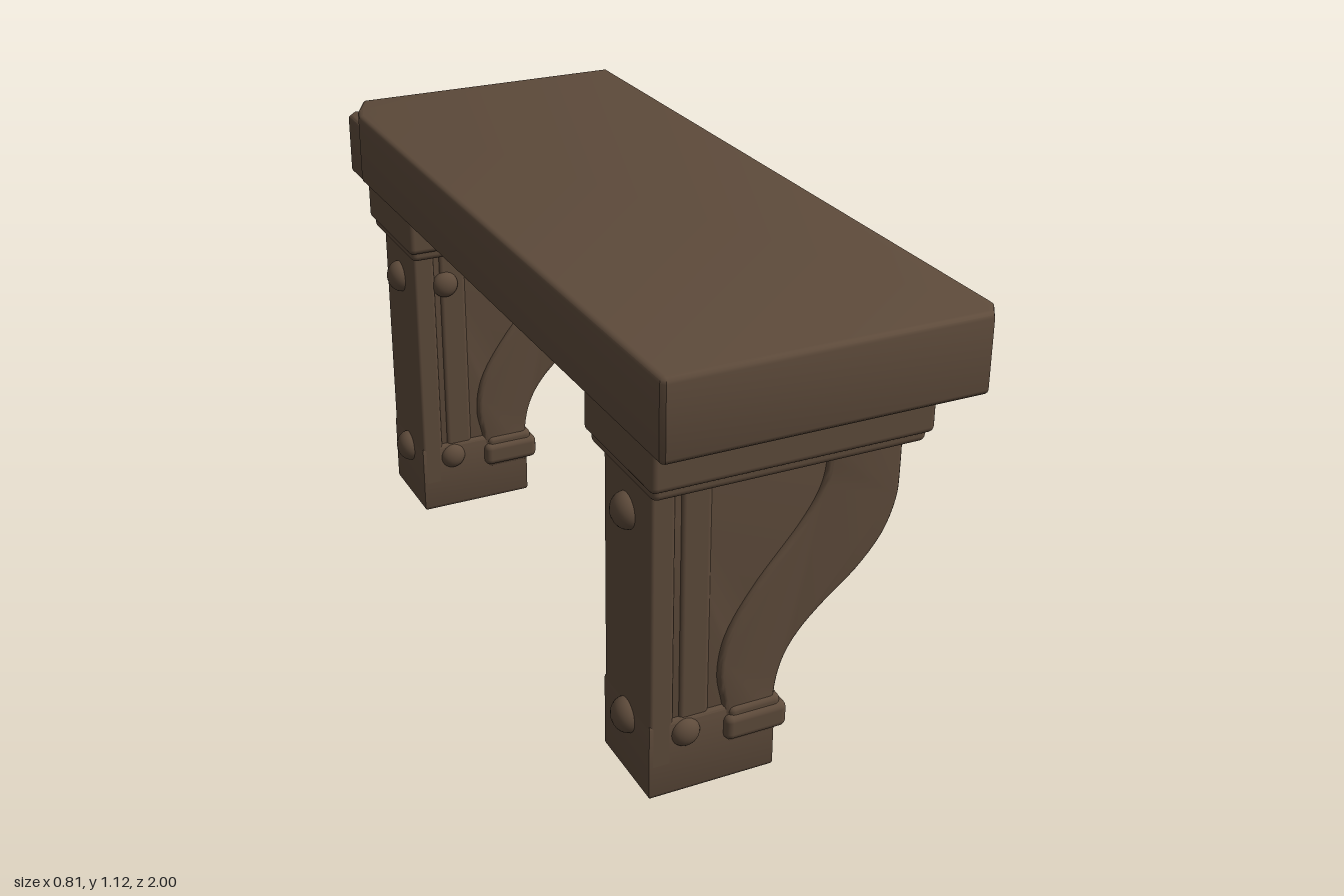
import * as THREE from 'three';
import { RoundedBoxGeometry } from 'three/addons/geometries/RoundedBoxGeometry.js';
import { toCreasedNormals } from 'three/addons/utils/BufferGeometryUtils.js';

const wood = new THREE.MeshStandardMaterial({ color: 0x5e4b3b });
wood.name = 'darkWood';

function add(parent, name, geometry, x = 0, y = 0, z = 0) {
  const mesh = new THREE.Mesh(geometry, wood);
  mesh.name = name;
  mesh.position.set(x, y, z);
  parent.add(mesh);
  return mesh;
}

const v = (pts) => pts.map(([x, y]) => new THREE.Vector2(x, y));

// Soft-edged block given by its limits
function block(parent, name, [x0, x1], [y0, y1], halfZ, r) {
  const g = new RoundedBoxGeometry(x1 - x0, y1 - y0, halfZ * 2, 3, r);
  return add(parent, name, g, (x0 + x1) / 2, (y0 + y1) / 2, 0);
}

// Bevelled plate, starting at depth 0, that keeps the outline of its shape
function plate(shape, depth, b) {
  const g = new THREE.ExtrudeGeometry(shape, {
    depth: depth - 2 * b, bevelEnabled: true, bevelThickness: b, bevelSize: b,
    bevelOffset: -b, bevelSegments: 3, curveSegments: 8,
  });
  g.translate(0, 0, b);
  return toCreasedNormals(g, 0.7);
}

// Plate lying flat: shape is drawn in (x, -z), thickness goes up
function flatPlate(points, height, b, hole) {
  const shape = new THREE.Shape(v(points));
  if (hole) shape.holes.push(new THREE.Path(v(hole)));
  return plate(shape, height, b).rotateX(-Math.PI / 2);
}

// S-shaped front edge of a bracket, and the inner edge of its scroll
const frontEdge = [[-0.035, 0.1], [-0.035, 0.2], [-0.018, 0.28], [0.02, 0.345], [0.08, 0.405],
  [0.165, 0.475], [0.228, 0.55], [0.26, 0.63], [0.266, 0.7], [0.266, 0.82]];
const innerEdge = [[0.08, 0.82], [0.07, 0.72], [0.02, 0.63], [-0.09, 0.5], [-0.16, 0.39],
  [-0.18, 0.29], [-0.165, 0.2], [-0.155, 0.1]];
const smooth = (pts) => new THREE.SplineCurve(v(pts)).getPoints(36);

function createBracket(side) {
  const bracket = new THREE.Group();
  bracket.name = side > 0 ? 'frontBracket' : 'backBracket';

  // Recessed side panel
  const core = new THREE.Shape([
    ...v([[-0.33, 0.82], [-0.33, 0.06], [-0.06, 0.06]]),
    ...smooth(frontEdge.map(([x, y]) => [x - 0.025, y])),
  ]);
  add(bracket, 'sidePanel', plate(core, 0.216, 0.004), 0, 0, -0.108);

  // Raised scroll
  const scroll = new THREE.Shape([...smooth(frontEdge), ...smooth(innerEdge)]);
  add(bracket, 'scroll', plate(scroll, 0.24, 0.012), 0, 0, -0.12);

  // Upright at the back with a narrow raised strip
  block(bracket, 'backPost', [-0.35, -0.29], [0.08, 0.83], 0.118, 0.01);
  block(bracket, 'postStrip', [-0.275, -0.2], [0.08, 0.83], 0.114, 0.012);

  // Foot with a socket underneath
  const foot = flatPlate(
    [[-0.35, -0.118], [-0.035, -0.118], [-0.035, 0.118], [-0.35, 0.118]], 0.2, 0.01,
    [[-0.25, -0.05], [-0.25, 0.05], [-0.11, 0.05], [-0.11, -0.05]]);
  foot.translate(0, 0.003, 0);
  add(bracket, 'foot', foot);
  block(bracket, 'footCollar', [-0.165, -0.008], [0.113, 0.18], 0.136, 0.018);
  block(bracket, 'collarTop', [-0.155, -0.022], [0.15, 0.2], 0.127, 0.016);

  // Capital with a tapered lower edge
  block(bracket, 'capital', [-0.375, 0.312], [0.81, 0.945], 0.172, 0.016);
  block(bracket, 'capitalLip', [-0.365, 0.3], [0.785, 0.86], 0.158, 0.016);

  // Domed bolts on the back and the sides
  const dome = new THREE.SphereGeometry(1, 20, 14);
  for (const y of [0.69, 0.163]) {
    add(bracket, 'backBolt', dome, -0.35, y, 0).scale.set(0.036, 0.043, 0.043);
  }
  for (const [y, s] of [[0.163, 1], [0.163, -1], [0.69, -side]]) {
    add(bracket, 'sideBolt', dome, -0.26, y, s * 0.113).scale.set(0.036, 0.036, 0.026);
  }

  bracket.position.z = side * 0.735;
  return bracket;
}

export function createModel() {
  const group = new THREE.Group();
  group.name = 'bracketShelf';

  // Thick shelf board with worn corners
  const board = flatPlate([[-0.4, -0.99], [-0.39, -1], [0.37, -1], [0.403, -0.95], [0.403, 1],
    [-0.345, 1], [-0.385, 0.92], [-0.403, 0.86]], 0.192, 0.014);
  add(group, 'shelfBoard', board, 0, 0.928, 0);

  // Split piece at the chipped back corner, sitting lower
  const chip = flatPlate([[-0.4, 0.84], [-0.34, 0.84], [-0.34, 0.985], [-0.375, 0.99], [-0.4, 0.96]],
    0.165, 0.01);
  add(group, 'cornerSplinter', chip, 0, 0.93, 0);

  for (const side of [1, -1]) group.add(createBracket(side));
  return group;
}
